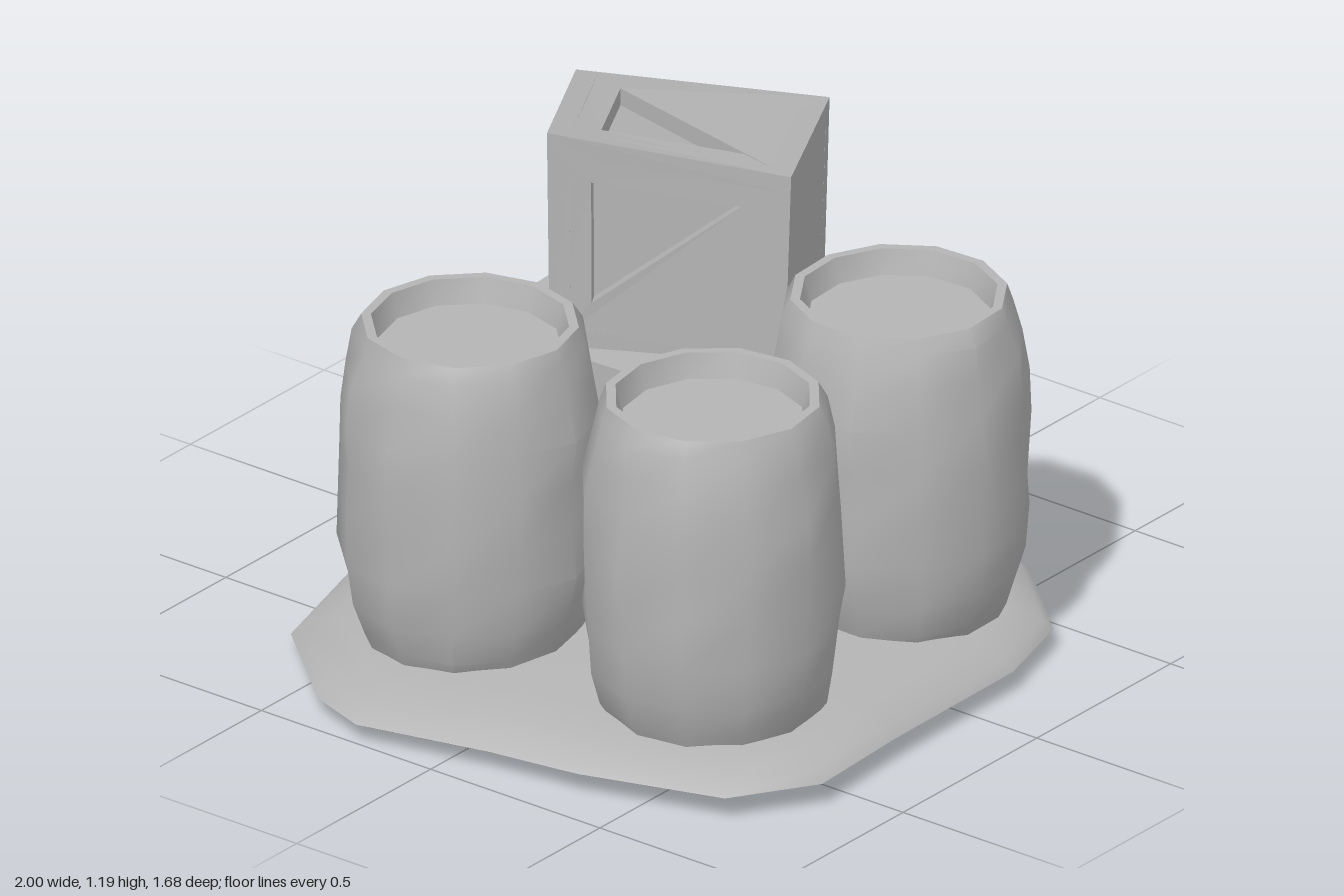
import * as THREE from 'three';
import { toCreasedNormals, mergeGeometries } from 'three/addons/utils/BufferGeometryUtils.js';

const stone = new THREE.MeshStandardMaterial({ color: 0xb4b4b4 });
stone.name = 'plain grey';

function addPart(group, name, geometry) {
  const mesh = new THREE.Mesh(geometry, stone);
  mesh.name = name;
  group.add(mesh);
}

// Skin over closed rings, listed in order; point(i, j) gives [x, y, z], anticlockwise from above
function loft(rings, sides, point, crease = 0.75) {
  const pos = [], index = [];
  for (let i = 0; i < rings; i++) {
    for (let j = 0; j < sides; j++) {
      pos.push(...point(i, j));
      if (i === rings - 1) continue;
      const k = (j + 1) % sides, a = i * sides;
      const b = a + sides;
      index.push(a + j, a + k, b + k, a + j, b + k, b + j);
    }
  }
  const g = new THREE.BufferGeometry();
  g.setAttribute('position', new THREE.Float32BufferAttribute(pos, 3));
  g.setIndex(index);
  return toCreasedNormals(g, crease);
}

// Sloping ground slab
function makeGround() {
  const outline = [
    [-1, -0.22], [-0.94, -0.38], [-0.7, -0.65], [-0.36, -0.75], [0.25, -0.84], [0.69, -0.845],
    [0.82, -0.79], [0.95, -0.65], [1, -0.38], [0.95, -0.13], [0.73, 0.14], [0.61, 0.5],
    [0.39, 0.74], [0.15, 0.81], [-0.3, 0.82], [-0.6, 0.84], [-0.8, 0.71], [-0.9, 0.36], [-0.93, 0.12],
  ].reverse();
  // scale of the outline, height above the tilted underside
  const rings = [[0, 0], [0.95, 0], [1, 0.025], [0.97, 0.05], [0.88, 0.075], [0.78, 0.09], [0.3, 0.115], [0, 0.115]];
  return loft(rings.length, outline.length, (i, j) => {
    const [s, h] = rings[i];
    const x = outline[j][0] * s, z = outline[j][1] * s;
    return [x, Math.max(0, 0.017 - 0.01 * x + 0.018 * z) + h, z];
  });
}

// Dented barrel with a rim and sunken lid
function makeBarrel(seed) {
  const profile = [
    [0, 0.1], [0.245, 0.1], [0.265, 0.14], [0.29, 0.22], [0.305, 0.33], [0.308, 0.45], [0.31, 0.57],
    [0.305, 0.68], [0.29, 0.78], [0.272, 0.86], [0.255, 0.9], [0.232, 0.9], [0.215, 0.84], [0, 0.84],
  ];
  const sides = 12;
  return loft(profile.length, sides, (i, j) => {
    const a = (j / sides) * Math.PI * 2 + seed * 0.2;
    const dent = i > 1 && i < 10 ? 0.022 * Math.sin(3 * a + i * 1.7 + seed) + 0.015 * Math.sin(5 * a - i * 2.3) : 0;
    const r = profile[i][0] * (1 + dent);
    return [r * Math.cos(a), profile[i][1], -r * Math.sin(a)];
  });
}

// Crate panel in a unit cube, with a triangular recess unless turn is null
function makePanel(turn) {
  const depth = 0.09;
  const shape = new THREE.Shape([[-0.5, -0.5], [0.5, -0.5], [0.5, 0.5], [-0.5, 0.5]].map(p => new THREE.Vector2(...p)));
  if (turn !== null) {
    const corners = [[-0.3, -0.3], [0.32, -0.3], [0.32, 0.28]].map(p =>
      new THREE.Vector2(...p).rotateAround(new THREE.Vector2(), turn * Math.PI / 2));
    shape.holes.push(new THREE.Path(corners.reverse()));
  }
  const g = new THREE.ExtrudeGeometry(shape, { depth, bevelEnabled: false });
  return g.translate(0, 0, 0.5 - depth);
}

// Crate bent to four floor and four top corners, ordered front left, front right, back right, back left
// turns: front, right, back, left, top
function makeCrate(floor, top, turns) {
  const parts = [new THREE.BoxGeometry(0.84, 0.84, 0.84).toNonIndexed()];
  for (let i = 0; i < 4; i++) parts.push(makePanel(turns[i]).rotateY(i * Math.PI / 2));
  parts.push(makePanel(turns[4]).rotateX(-Math.PI / 2));
  parts.push(makePanel(null).rotateX(Math.PI / 2));
  const g = mergeGeometries(parts);
  const p = g.attributes.position;
  for (let n = 0; n < p.count; n++) {
    const u = p.getX(n) + 0.5, h = p.getY(n) + 0.5, v = 0.5 - p.getZ(n);
    const w = [(1 - u) * (1 - v), u * (1 - v), u * v, (1 - u) * v];
    const out = [0, 1, 2].map(k => w.reduce((s, f, c) => s + f * (floor[c][k] * (1 - h) + top[c][k] * h), 0));
    p.setXYZ(n, ...out);
  }
  g.computeVertexNormals();
  return g;
}

// Tied sack with a flared, crumpled mouth
function makeSack() {
  // y, x radius, z radius, centre x, centre z, crumple
  const rings = [
    [0.09, 0, 0, 0.72, -0.42, 0], [0.09, 0.17, 0.25, 0.72, -0.42, 0.04], [0.15, 0.2, 0.265, 0.715, -0.42, 0.03],
    [0.28, 0.2, 0.25, 0.71, -0.41, 0.02], [0.42, 0.175, 0.225, 0.7, -0.385, 0.04], [0.52, 0.13, 0.165, 0.7, -0.375, 0.08],
    [0.57, 0.075, 0.09, 0.7, -0.365, 0.12], [0.61, 0.04, 0.045, 0.7, -0.36, 0.1], [0.66, 0.08, 0.075, 0.7, -0.365, 0.2],
    [0.715, 0.125, 0.12, 0.7, -0.37, 0.4], [0.69, 0.06, 0.06, 0.7, -0.37, 0.3], [0.64, 0, 0, 0.7, -0.365, 0],
  ];
  const sides = 12;
  return loft(rings.length, sides, (i, j) => {
    const [y, rx, rz, cx, cz, crumple] = rings[i];
    const a = (j / sides) * Math.PI * 2;
    const f = 1 + crumple * Math.sin(4 * a + i * 0.5);
    const lift = i === 9 ? 0.03 * Math.cos(3 * a) : 0;
    return [cx + rx * f * Math.cos(a), y + lift, cz - rz * f * Math.sin(a)];
  }, 0.9);
}

export function createModel() {
  const model = new THREE.Group();
  model.name = 'barrelsCratesAndSack';
  addPart(model, 'ground', makeGround());

  [['backBarrel', -0.53, -0.255], ['frontRightBarrel', -0.49, 0.43], ['frontLeftBarrel', 0.205, 0.43]]
    .forEach(([name, x, z], i) => addPart(model, name, makeBarrel(i * 2.1).translate(x, 0, z)));

  const lower = [[-0.07, 0.04], [0.59, 0], [0.53, -0.63], [-0.1, -0.59]];
  addPart(model, 'lowerCrate', makeCrate(
    lower.map(([x, z]) => [x, 0.1, z]), lower.map(([x, z]) => [x, 0.625, z]), [2, 0, 3, 1, null]));

  const upperTop = [[0.17, 1.12, 0.14], [0.63, 1.075, -0.11], [0.34, 1.1, -0.63], [-0.11, 1.19, -0.36]];
  const upperFloor = [[0.16, 0.64, 0.13], [0.61, 0.62, -0.11], [0.33, 0.62, -0.62], [-0.1, 0.64, -0.36]];
  addPart(model, 'upperCrate', makeCrate(upperFloor, upperTop, [null, 0, 3, 2, 2]));

  addPart(model, 'sack', makeSack());
  return model;
}
